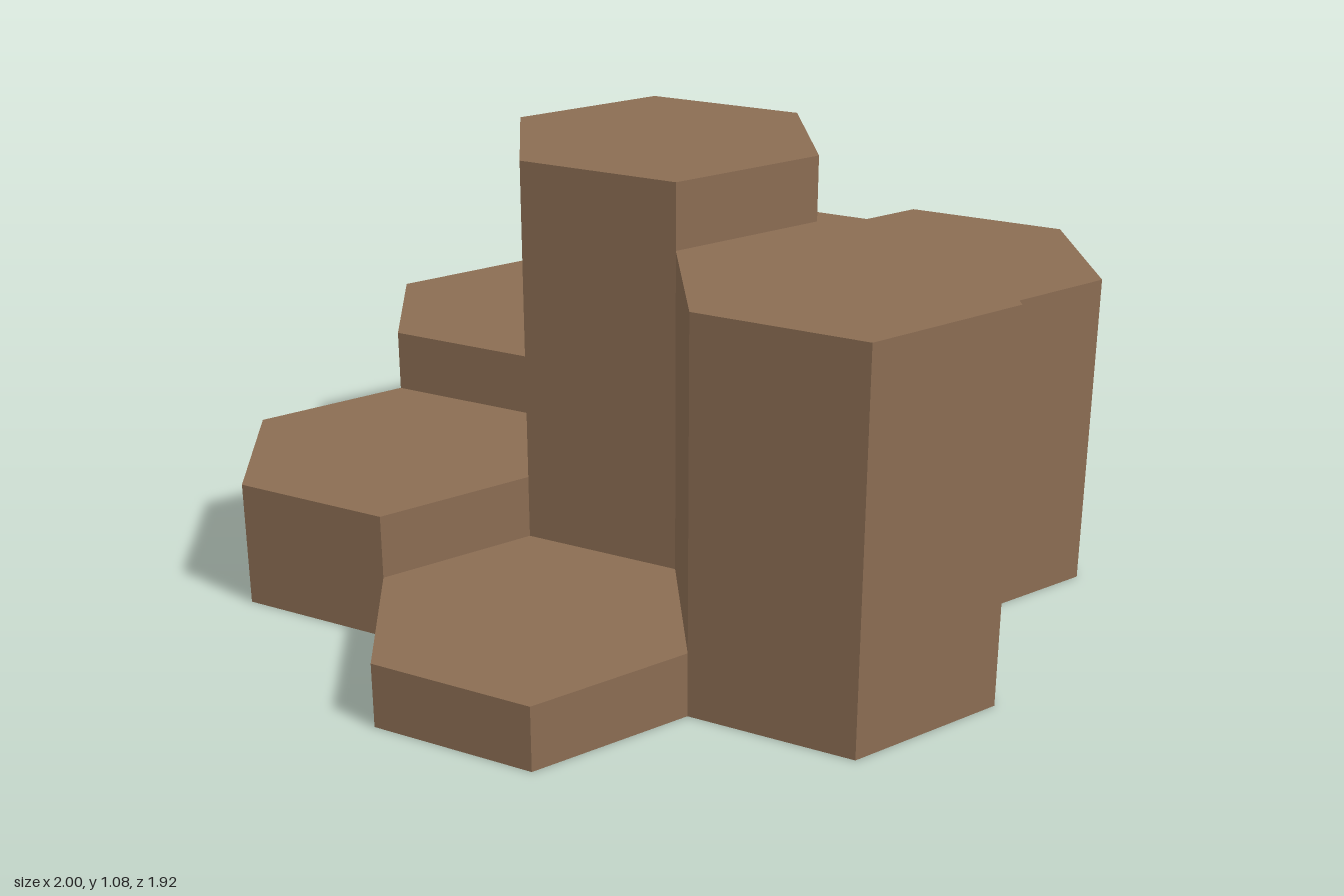
import * as THREE from 'three';
import { mergeGeometries } from 'three/addons/utils/BufferGeometryUtils.js';

const APOTHEM = 1 / 3;
const RADIUS = APOTHEM * 2 / Math.sqrt(3);
const STEP = 1.077 / 7;

// Position of the cell next to a point, in one of six directions
const angle = (k) => k * Math.PI / 3;
const offset = (x, z, k, d) => [x + d * Math.cos(angle(k)), z + d * Math.sin(angle(k))];

// Centre column and its ring, with heights counted in steps
const columns = [{ name: 'centreColumn', x: 0, z: 0, steps: 7 }];
[
  ['rightSideColumn', 5], ['frontColumnPlusX', 6], ['frontColumnMinusX', 1],
  ['leftSideColumn', 2], ['backColumnMinusX', 3], ['backColumnPlusX', 4],
].forEach(([name, steps], k) => {
  const [x, z] = offset(0, 0, k, 2 * APOTHEM);
  columns.push({ name, x, z, steps });
});

// Height of the column standing at a point, or 0 where there is none
function heightAt(x, z) {
  const c = columns.find((c) => Math.hypot(c.x - x, c.z - z) < 0.01);
  return c ? c.steps * STEP : 0;
}

// Hexagonal top plus only the exposed walls; the underside is open
function columnGeometry({ x, z, steps }) {
  const height = steps * STEP;
  const parts = [
    new THREE.CircleGeometry(RADIUS, 6, Math.PI / 2).rotateX(-Math.PI / 2).translate(x, height, z),
  ];
  for (let k = 0; k < 6; k++) {
    const low = heightAt(...offset(x, z, k, 2 * APOTHEM));
    if (low >= height) continue;
    const [wx, wz] = offset(x, z, k, APOTHEM);
    parts.push(new THREE.PlaneGeometry(RADIUS, height - low)
      .rotateY(Math.PI / 2 - angle(k))
      .translate(wx, (low + height) / 2, wz));
  }
  return mergeGeometries(parts);
}

export function createModel() {
  const group = new THREE.Group();
  group.name = 'hexagonalColumns';
  const stone = new THREE.MeshStandardMaterial({ color: 0x8b6d53, side: THREE.DoubleSide });
  stone.name = 'brownStone';
  for (const column of columns) {
    const mesh = new THREE.Mesh(columnGeometry(column), stone);
    mesh.name = column.name;
    group.add(mesh);
  }
  return group;
}
